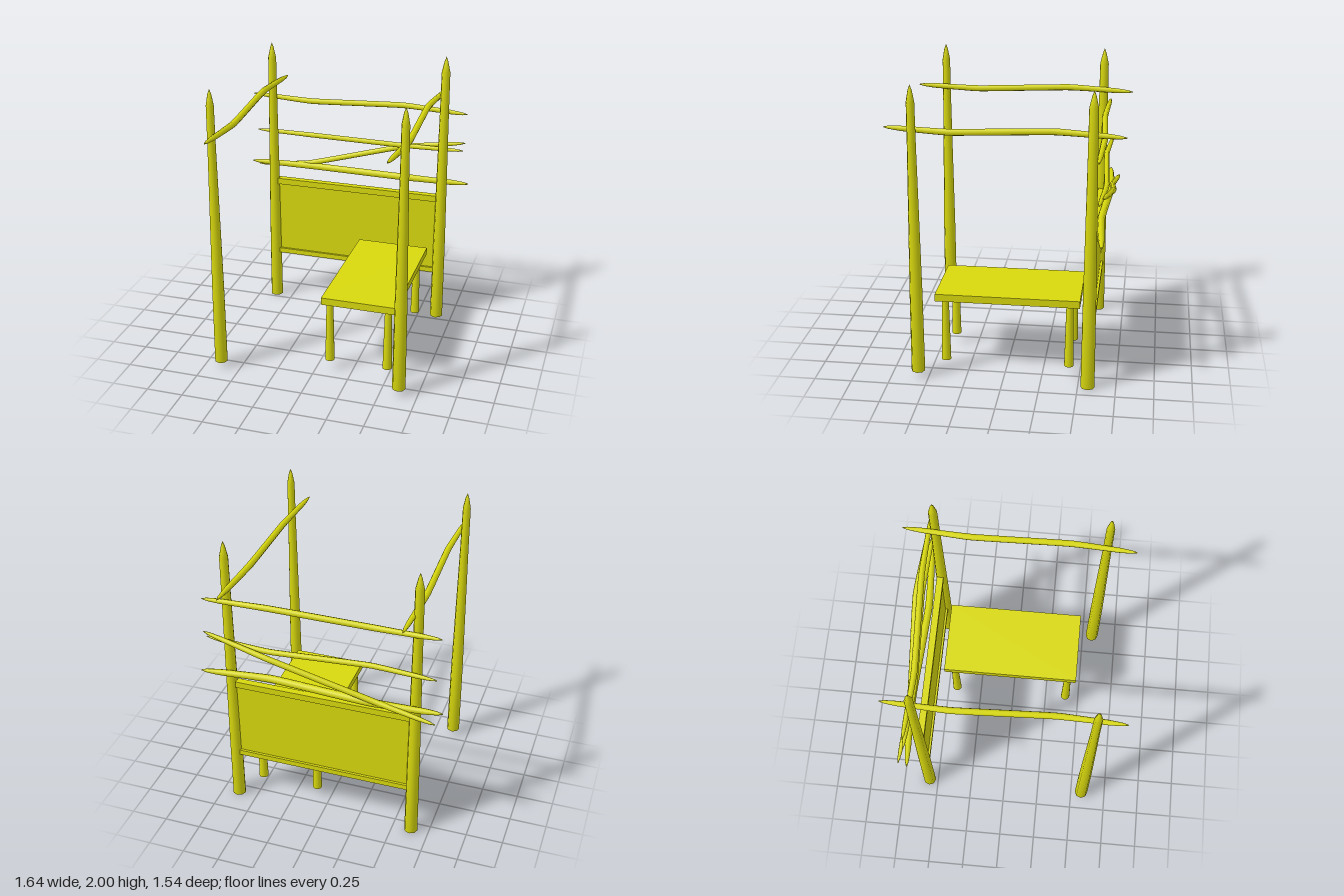
import * as THREE from 'three';

const SIDES = 8;

export function createModel() {
  const model = new THREE.Group();
  const wood = new THREE.MeshStandardMaterial({ color: 0xd8d80e, side: THREE.DoubleSide });
  wood.name = 'yellow wood';

  const add = (name, geometry, x = 0, y = 0, z = 0) => {
    const mesh = new THREE.Mesh(geometry, wood);
    mesh.name = name;
    mesh.position.set(x, y, z);
    model.add(mesh);
    return mesh;
  };
  const box = (name, x0, x1, y0, y1, z0, z1) =>
    add(name, new THREE.BoxGeometry(x1 - x0, y1 - y0, z1 - z0),
      (x0 + x1) / 2, (y0 + y1) / 2, (z0 + z1) / 2);

  // Tapered posts with sharpened tops
  const post = (name, x, z, base, top) => {
    const profile = [[0, base], [0.046, base], [0.043, 0.6], [top + 0.002, 1.6],
      [top, 1.89], [0.013, 1.965], [0, 2]].map(([r, y]) => new THREE.Vector2(r, y));
    add(name, new THREE.LatheGeometry(profile, SIDES), x, 0, z);
  };
  post('frontRightPost', -0.637, 0.575, 0.045, 0.027);
  post('frontLeftPost', 0.623, 0.57, 0.045, 0.027);
  post('backRightPost', -0.628, -0.563, 0, 0.03);
  post('backLeftPost', 0.635, -0.565, 0, 0.03);

  // Crooked branch: a tube along the bends, narrowed to a point at both ends
  const branch = (name, radius, points) => {
    const curve = new THREE.CatmullRomCurve3(
      points.map(p => new THREE.Vector3(...p)), false, 'catmullrom', 0.18);
    const rings = 48;
    const geometry = new THREE.TubeGeometry(curve, rings, 1, SIDES, false);
    const pos = geometry.attributes.position;
    const v = new THREE.Vector3();
    for (let i = 0; i < pos.count; i++) {
      const u = Math.floor(i / (SIDES + 1)) / rings;
      const end = Math.min(u, 1 - u);
      const r = radius * (end < 0.08
        ? 0.12 + 0.68 * Math.sqrt(end / 0.08)
        : 0.8 + 0.2 * Math.min(1, (end - 0.08) / 0.2));
      const c = curve.getPointAt(u);
      v.fromBufferAttribute(pos, i).sub(c).multiplyScalar(r).add(c);
      pos.setXYZ(i, v.x, v.y, v.z);
    }
    add(name, geometry);
  };
  // Side rails
  branch('rightSideBranch', 0.022,
    [[-0.585, 1.7, -0.77], [-0.61, 1.715, -0.32], [-0.58, 1.695, 0.33], [-0.602, 1.707, 0.77]]);
  branch('leftSideBranch', 0.022,
    [[0.605, 1.7, -0.77], [0.57, 1.715, -0.32], [0.592, 1.695, 0.33], [0.56, 1.707, 0.76]]);
  // Back rails
  branch('upperBackBranch', 0.021,
    [[-0.79, 1.595, -0.61], [-0.34, 1.582, -0.59], [0.33, 1.605, -0.62], [0.79, 1.585, -0.607]]);
  branch('middleBackBranch', 0.019,
    [[-0.775, 1.31, -0.635], [-0.34, 1.315, -0.61], [0.33, 1.296, -0.64], [0.77, 1.31, -0.615]]);
  branch('lowerBackBranch', 0.026,
    [[-0.82, 1.06, -0.625], [-0.34, 1.058, -0.645], [0.33, 1.065, -0.61], [0.815, 1.052, -0.64]]);
  branch('diagonalBackBranch', 0.02,
    [[-0.79, 1.015, -0.69], [-0.37, 1.08, -0.655], [0.32, 1.27, -0.685], [0.78, 1.36, -0.64]]);

  // Back panel between two rails
  box('backPanel', -0.6, 0.6, 0.39, 0.93, -0.575, -0.56);
  box('panelTopRail', -0.6, 0.6, 0.925, 0.97, -0.592, -0.545);
  box('panelBottomRail', -0.6, 0.6, 0.36, 0.397, -0.592, -0.545);

  // Bench with four tapered legs
  box('benchTop', 0.05, 0.56, 0.525, 0.575, -0.5, 0.46);
  for (const x of [0.095, 0.5])
    for (const z of [-0.43, 0.4])
      add('benchLeg', new THREE.CylinderGeometry(0.023, 0.032, 0.445, SIDES * 2), x, 0.3025, z);

  return model;
}
